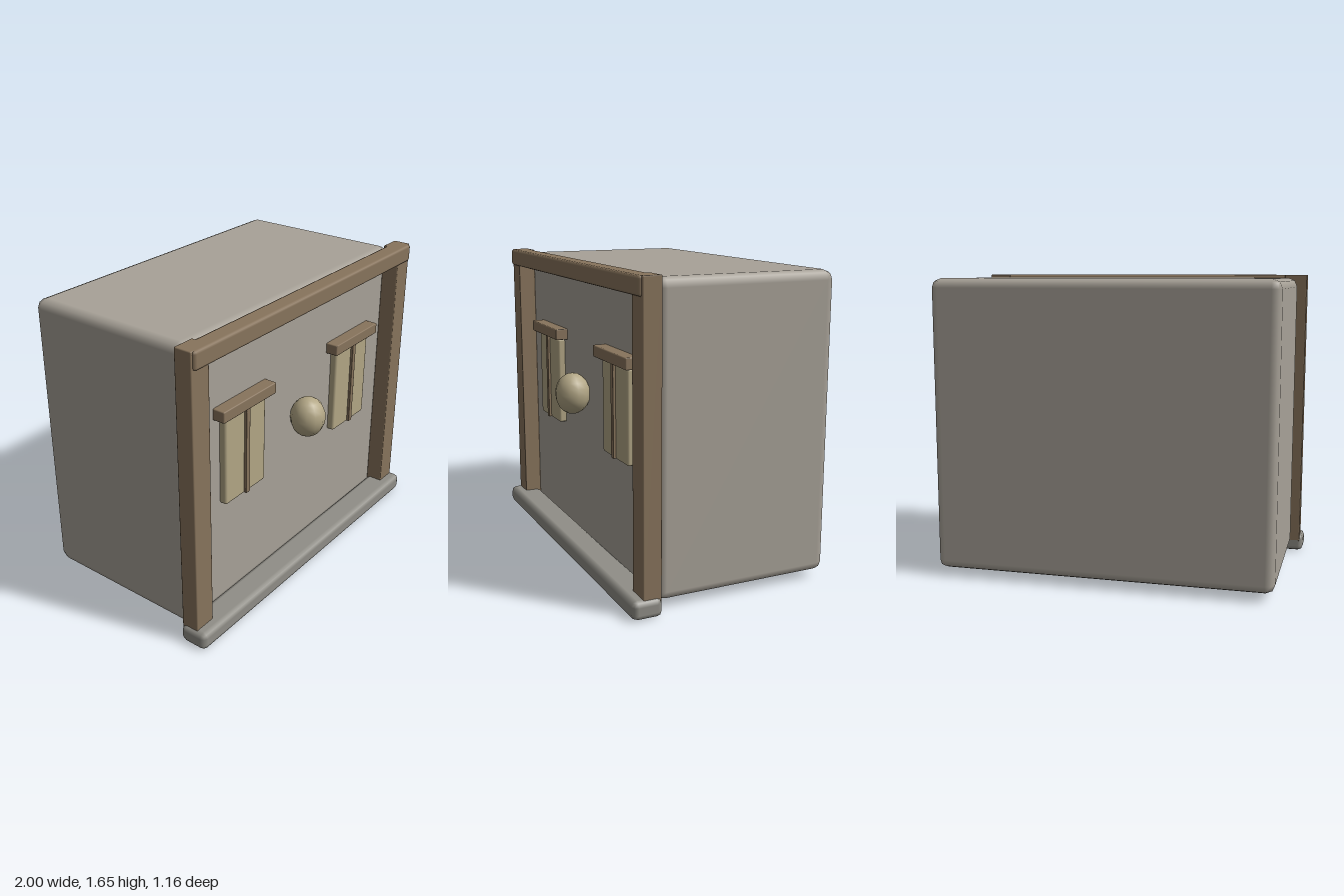
import * as THREE from 'three';

const paint = (color) => new THREE.MeshStandardMaterial({ color });
const stone = paint(0xa8a298);
const plinthGrey = paint(0x908e87);
const wood = paint(0x88745c);
const sand = paint(0xb2a685);

// Box with edges rounded in two steps: only the outer rows of a 3x3x3 grid form the bevel
function bevelBox(w, h, d, r) {
  const geo = new THREE.BoxGeometry(1, 1, 1, 3, 3, 3);
  const pos = geo.attributes.position;
  const half = new THREE.Vector3(w / 2 - r, h / 2 - r, d / 2 - r);
  const p = new THREE.Vector3();
  const n = new THREE.Vector3();
  const outer = (t) => (Math.abs(t) > 0.3 ? Math.sign(t) : 0);
  for (let i = 0; i < pos.count; i++) {
    p.fromBufferAttribute(pos, i);
    n.set(outer(p.x), outer(p.y), outer(p.z)).normalize();
    p.set(Math.sign(p.x), Math.sign(p.y), Math.sign(p.z)).multiply(half).addScaledVector(n, r);
    pos.setXYZ(i, p.x, p.y, p.z);
    geo.attributes.normal.setXYZ(i, n.x, n.y, n.z);
  }
  return geo;
}

// Adds a bevelled block given its extents on each axis
function block(parent, name, material, [x0, x1], [y0, y1], [z0, z1], r) {
  const mesh = new THREE.Mesh(bevelBox(x1 - x0, y1 - y0, z1 - z0, r), material);
  mesh.position.set((x0 + x1) / 2, (y0 + y1) / 2, (z0 + z1) / 2);
  mesh.name = name;
  parent.add(mesh);
}

export function createModel() {
  const model = new THREE.Group();
  model.name = 'buildingBlock';

  // Main volume and the plinth along the front
  block(model, 'body', stone, [-0.93, 0.93], [0.04, 1.635], [-0.58, 0.4], 0.05);
  block(model, 'plinth', plinthGrey, [-1, 1], [0, 0.1], [0.4, 0.56], 0.03);

  // Timber frame: top beam with a post at each end
  block(model, 'topBeam', wood, [-0.97, 0.97], [1.555, 1.652], [0.413, 0.515], 0.015);
  for (const side of [-1, 1]) {
    const label = side > 0 ? 'left' : 'right';
    const c = side * 0.918;
    block(model, label + 'Post', wood, [c - 0.063, c + 0.063], [0.06, 1.652], [0.4, 0.5], 0.006);

    // Window: pale panel, centre bar and lintel
    const win = new THREE.Group();
    win.name = label + 'Window';
    win.position.x = side * 0.5;
    block(win, 'windowPanel', sand, [-0.165, 0.165], [0.672, 1.168], [0.385, 0.44], 0.012);
    block(win, 'windowBar', wood, [-0.016, 0.016], [0.675, 1.18], [0.4, 0.455], 0.004);
    block(win, 'windowLintel', wood, [-0.214, 0.214], [1.172, 1.234], [0.39, 0.47], 0.006);
    model.add(win);
  }

  // Oval boss in the middle of the facade
  const boss = new THREE.Mesh(new THREE.SphereGeometry(1, 12, 10), sand);
  boss.name = 'boss';
  boss.scale.set(0.098, 0.115, 0.098);
  boss.position.set(0, 0.92, 0.48);
  model.add(boss);

  return model;
}
